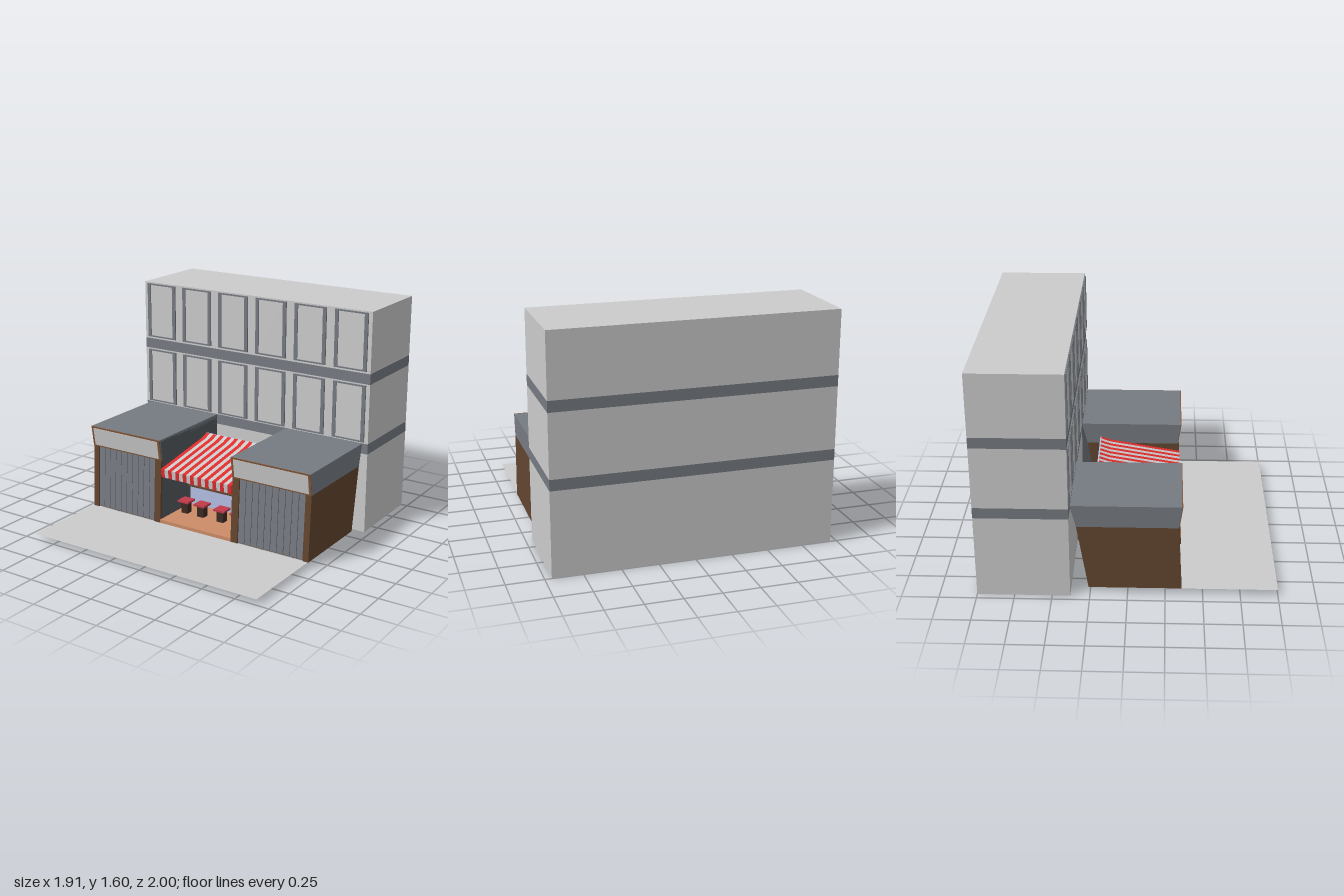
import * as THREE from 'three';

const mat = (color) => new THREE.MeshStandardMaterial({ color, flatShading: true });
const M = {
  wall: mat(0xcccccc), slate: mat(0x767b82), brown: mat(0x63452f), trim: mat(0x85593a),
  red: mat(0xe02c2c), seat: mat(0xc23a4a), blue: mat(0xb4c0e4), floor: mat(0xcc8c68),
  dark: mat(0x3c2a24), groove: mat(0x33363a), inner: mat(0x55595e),
};

function add(parent, name, geo, material) {
  const mesh = new THREE.Mesh(geo, material);
  mesh.name = name;
  parent.add(mesh);
  return mesh;
}

// Box given by its limits on each axis
function box(parent, name, material, x0, x1, y0, y1, z0, z1) {
  const m = add(parent, name, new THREE.BoxGeometry(x1 - x0, y1 - y0, z1 - z0), material);
  m.position.set((x0 + x1) / 2, (y0 + y1) / 2, (z0 + z1) / 2);
  return m;
}

// Side profile of [z, y] points, swept from x0 to x1
function sweep(parent, name, material, x0, x1, points) {
  const shape = new THREE.Shape(points.map(([z, y]) => new THREE.Vector2(z, y)));
  const geo = new THREE.ExtrudeGeometry(shape, { depth: x1 - x0, bevelEnabled: false });
  geo.rotateY(-Math.PI / 2).translate(x1, 0, 0);
  return add(parent, name, geo, material);
}

function group(parent, name) {
  const g = new THREE.Group();
  g.name = name;
  parent.add(g);
  return g;
}

// Four frame bars around a pane: side bars of width w, top and bottom bars of height h
function frame(parent, material, x0, x1, y0, y1, z0, z1, w, h) {
  box(parent, 'frameSide', material, x0, x0 + w, y0, y1, z0, z1);
  box(parent, 'frameSide', material, x1 - w, x1, y0, y1, z0, z1);
  box(parent, 'frameBottom', material, x0 + w, x1 - w, y0, y0 + h, z0, z1);
  box(parent, 'frameTop', material, x0 + w, x1 - w, y1 - h, y1, z0, z1);
}

function building(parent) {
  const g = group(parent, 'building');
  // Storeys and the dark bands between them
  [0, 0.585, 0.66, 1.09, 1.165, 1.6].forEach((y, i, ys) => {
    if (i === 5) return;
    const band = i % 2 === 1;
    box(g, band ? 'band' : 'storey', band ? M.slate : M.wall, -0.955, 0.955, y, ys[i + 1], -1, -0.38);
  });
  // Two rows of six windows
  for (const y of [0.67, 1.18]) {
    for (const x of [-0.8, -0.48, -0.16, 0.16, 0.48, 0.8]) {
      const w = group(g, 'window');
      frame(w, M.slate, x - 0.126, x + 0.126, y, y + 0.41, -0.385, -0.37, 0.027, 0.01);
      box(w, 'pane', M.wall, x - 0.1, x + 0.1, y + 0.01, y + 0.4, -0.385, -0.376);
    }
  }
}

// Front of the shop leans back from the ground up to y = 0.5
const frontZ = (y) => 0.36 - (y - 0.04) * 0.054;
const leaning = (y0, y1, back, out) => [
  [frontZ(y0) - back, y0], [frontZ(y0) + out, y0], [frontZ(y1) + out, y1], [frontZ(y1) - back, y1],
];

// Closed shop, spanning x0 to x1; inner is the x of the wall next to the stall
function shop(parent, x0, x1, inner) {
  const g = group(parent, 'shop');
  sweep(g, 'body', M.brown, x0, x1, [[0.345, 0.04], [0.32, 0.505], [-0.335, 0.505], [-0.26, 0.04]]);
  sweep(g, 'roof', M.slate, x0, x1, [[0.335, 0.505], [0.355, 0.66], [-0.375, 0.66], [-0.335, 0.505]]);
  const s = Math.sign(inner);
  const wall = [inner, inner + s * 0.015].sort((a, b) => a - b);
  sweep(g, 'innerWall', M.inner, wall[0], wall[1],
    [[0.34, 0.04], [0.32, 0.5], [0.34, 0.655], [-0.375, 0.655], [-0.375, 0.04]]);

  // Posts: narrow outside, wider beside the stall
  const left = s < 0 ? 0.045 : 0.055;
  const right = s < 0 ? 0.055 : 0.045;
  sweep(g, 'post', M.brown, x0, x0 + left, leaning(0.04, 0.505, 0.02, 0));
  sweep(g, 'post', M.brown, x1 - right, x1, leaning(0.04, 0.505, 0.02, 0));

  // Slatted shutter
  const a = x0 + left, b = x1 - right, n = 10, step = (b - a) / n;
  sweep(g, 'shutterBack', M.groove, a, b, leaning(0.045, 0.505, 0.02, -0.012));
  for (let i = 0; i < n; i++) {
    sweep(g, 'shutterSlat', M.slate, a + i * step + 0.002, a + (i + 1) * step - 0.002,
      leaning(0.047, 0.503, 0.016, -0.007));
  }

  // Blank sign board leaning forwards
  sweep(g, 'signFrame', M.trim, x0, x1, [[0.33, 0.505], [0.337, 0.505], [0.359, 0.66], [0.352, 0.66]]);
  sweep(g, 'signBoard', M.wall, x0 + 0.018, x1 - 0.018,
    [[0.335, 0.515], [0.341, 0.515], [0.36, 0.648], [0.354, 0.648]]);
}

function stall(parent) {
  const g = group(parent, 'stall');
  box(g, 'floor', M.floor, -0.3, 0.3, 0.04, 0.065, -0.23, 0.36);
  box(g, 'backWall', M.blue, -0.3, 0.3, 0.04, 0.555, -0.24, -0.225);
  box(g, 'counter', M.blue, -0.3, 0.3, 0.065, 0.21, -0.225, -0.02);
  box(g, 'counterTop', M.brown, -0.3, 0.3, 0.21, 0.22, -0.225, 0.01);

  // Framed panels on the back wall
  for (const x of [-0.21, -0.07, 0.07, 0.21]) {
    const p = group(g, 'menuPanel');
    frame(p, M.trim, x - 0.065, x + 0.065, 0.262, 0.41, -0.226, -0.21, 0.007, 0.007);
    box(p, 'panel', M.wall, x - 0.058, x + 0.058, 0.269, 0.403, -0.226, -0.215);
  }

  // Stools
  for (const x of [-0.225, -0.085, 0.085, 0.225]) {
    const s = group(g, 'stool');
    box(s, 'stoolLeg', M.dark, x - 0.027, x + 0.027, 0.065, 0.148, 0.113, 0.167);
    box(s, 'stoolSeat', M.seat, x - 0.045, x + 0.045, 0.148, 0.162, 0.095, 0.185);
  }

  // Bowl and cup on the counter
  const profile = [[0, 0], [0.02, 0], [0.023, 0.006], [0.046, 0.028], [0.04, 0.028], [0, 0.012]]
    .map(([x, y]) => new THREE.Vector2(x, y));
  add(g, 'bowl', new THREE.LatheGeometry(profile, 12), M.seat).position.set(0.17, 0.22, -0.05);
  add(g, 'cup', new THREE.CylinderGeometry(0.012, 0.01, 0.035, 10), M.wall).position.set(0.11, 0.2375, -0.05);

  // Striped awning with a hanging front edge
  const awning = group(g, 'awning');
  const profileA = [
    [-0.23, 0.557], [-0.16, 0.533], [0.346, 0.447], [0.341, 0.385],
    [0.335, 0.385], [0.338, 0.44], [-0.162, 0.525], [-0.23, 0.549],
  ];
  const n = 19, w = 0.594 / n;
  for (let i = 0; i < n; i++) {
    const x = -0.297 + i * w;
    sweep(awning, 'awningStripe', i % 2 ? M.wall : M.red, x, x + w, profileA);
  }
}

export function createModel() {
  const model = new THREE.Group();
  model.name = 'streetStall';
  building(model);
  shop(model, -0.91, -0.3, -0.315 + 0.015);
  shop(model, 0.3, 0.915, 0.3);
  stall(model);

  // Pavement in front
  const ground = new THREE.MeshStandardMaterial({ color: 0xcccccc, side: THREE.DoubleSide });
  const pavement = add(model, 'pavement', new THREE.PlaneGeometry(1.82, 0.645), ground);
  pavement.rotation.x = -Math.PI / 2;
  pavement.position.set(0, 0.04, 0.6775);
  return model;
}
